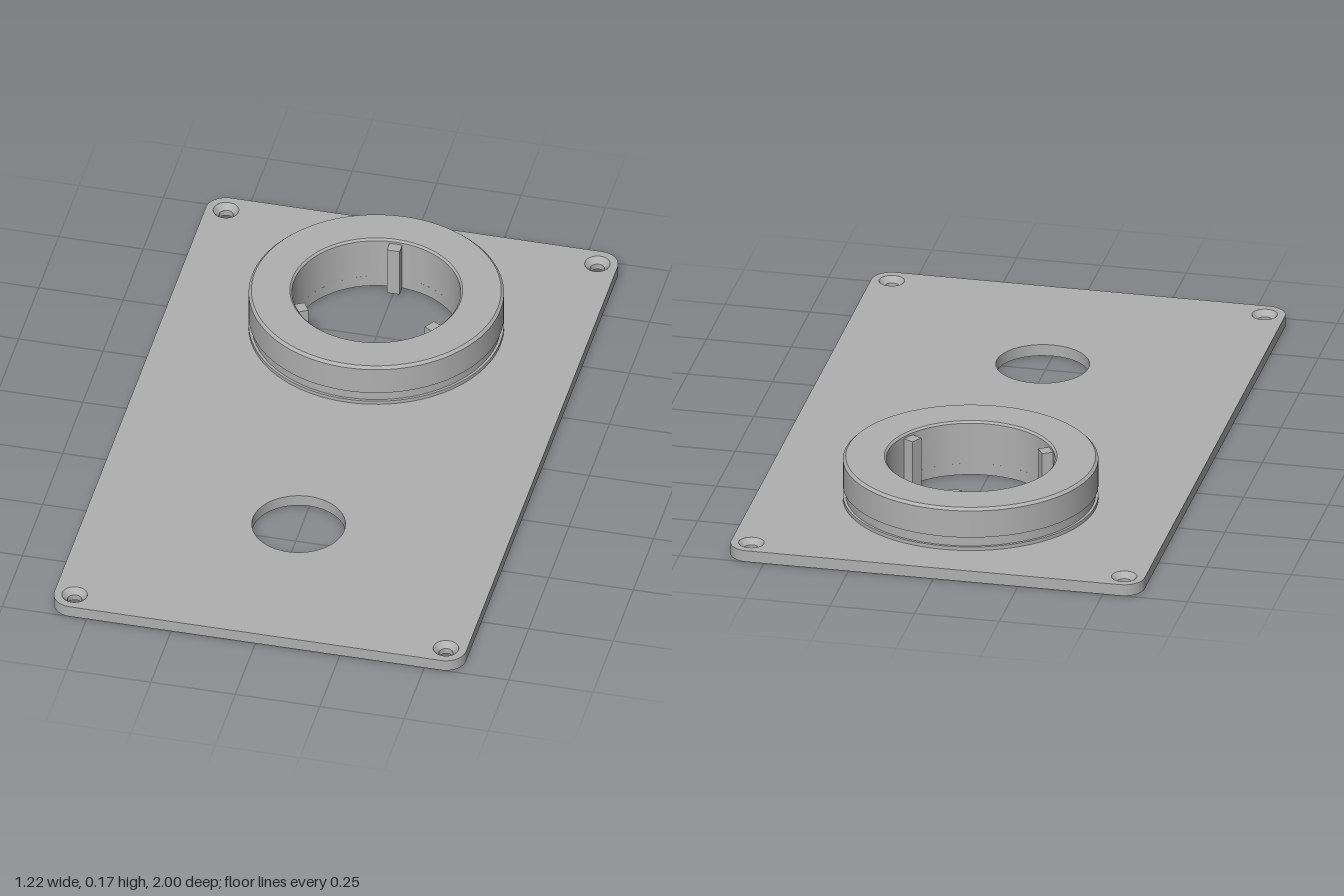
import * as THREE from 'three';
import { toCreasedNormals } from 'three/addons/utils/BufferGeometryUtils.js';

const W = 0.61, L = 1, T = 0.035, CORNER = 0.06;
const RING_Z = -0.5, BORE = 0.243;
const SCREWS = [[-0.55, -0.94], [0.55, -0.94], [-0.55, 0.94], [0.55, 0.94]];

export function createModel() {
  const group = new THREE.Group();
  const grey = new THREE.MeshStandardMaterial({ color: 0xb0b0b0 });
  grey.name = 'grey';

  const add = (name, geometry, x = 0, y = 0, z = 0) => {
    const mesh = new THREE.Mesh(geometry, grey);
    mesh.name = name;
    mesh.position.set(x, y, z);
    group.add(mesh);
    return mesh;
  };
  const lathe = (points, segments) => toCreasedNormals(
    new THREE.LatheGeometry(points.map(([r, y]) => new THREE.Vector2(r, y)), segments), 0.4);

  // Rounded base plate with all openings (shape y becomes -z)
  const outline = new THREE.Shape();
  const cx = W - CORNER, cy = L - CORNER;
  outline.absarc(cx, cy, CORNER, 0, Math.PI / 2);
  outline.absarc(-cx, cy, CORNER, Math.PI / 2, Math.PI);
  outline.absarc(-cx, -cy, CORNER, Math.PI, Math.PI * 1.5);
  outline.absarc(cx, -cy, CORNER, Math.PI * 1.5, Math.PI * 2);
  outline.closePath();
  const hole = (x, z, r) => {
    const path = new THREE.Path();
    path.absarc(x, -z, r, 0, Math.PI * 2, true);
    outline.holes.push(path);
  };
  hole(0, RING_Z, BORE);
  hole(0, 0.464, 0.135);
  SCREWS.forEach(([x, z]) => hole(x, z, 0.037));
  const plate = new THREE.ExtrudeGeometry(outline, { depth: T, bevelEnabled: false, curveSegments: 32 });
  plate.rotateX(-Math.PI / 2);
  add('basePlate', toCreasedNormals(plate, 0.5));

  // Countersunk seats in the screw holes
  const seat = lathe([[0.037, T], [0.021, 0.018], [0.021, 0], [0.037, 0]], 32);
  SCREWS.forEach(([x, z]) => add('screwSeat', seat, x, 0, z));

  // Raised collar with an outer groove and chamfered rims
  add('collar', lathe([
    [0.368, T], [0.368, 0.046], [0.36, 0.046], [0.36, 0.076], [0.368, 0.076],
    [0.368, 0.16], [0.36, 0.168], [0.249, 0.168], [BORE, 0.162], [BORE, T],
  ], 96), 0, 0, RING_Z);

  // Three keys along the bore
  const key = new THREE.BoxGeometry(0.038, 0.155, 0.038);
  for (let i = 0; i < 3; i++) {
    const a = Math.PI + i * Math.PI * 2 / 3, r = 0.229;
    add('boreKey', key, Math.sin(a) * r, 0.0775, RING_Z + Math.cos(a) * r).rotation.y = a;
  }
  return group;
}
